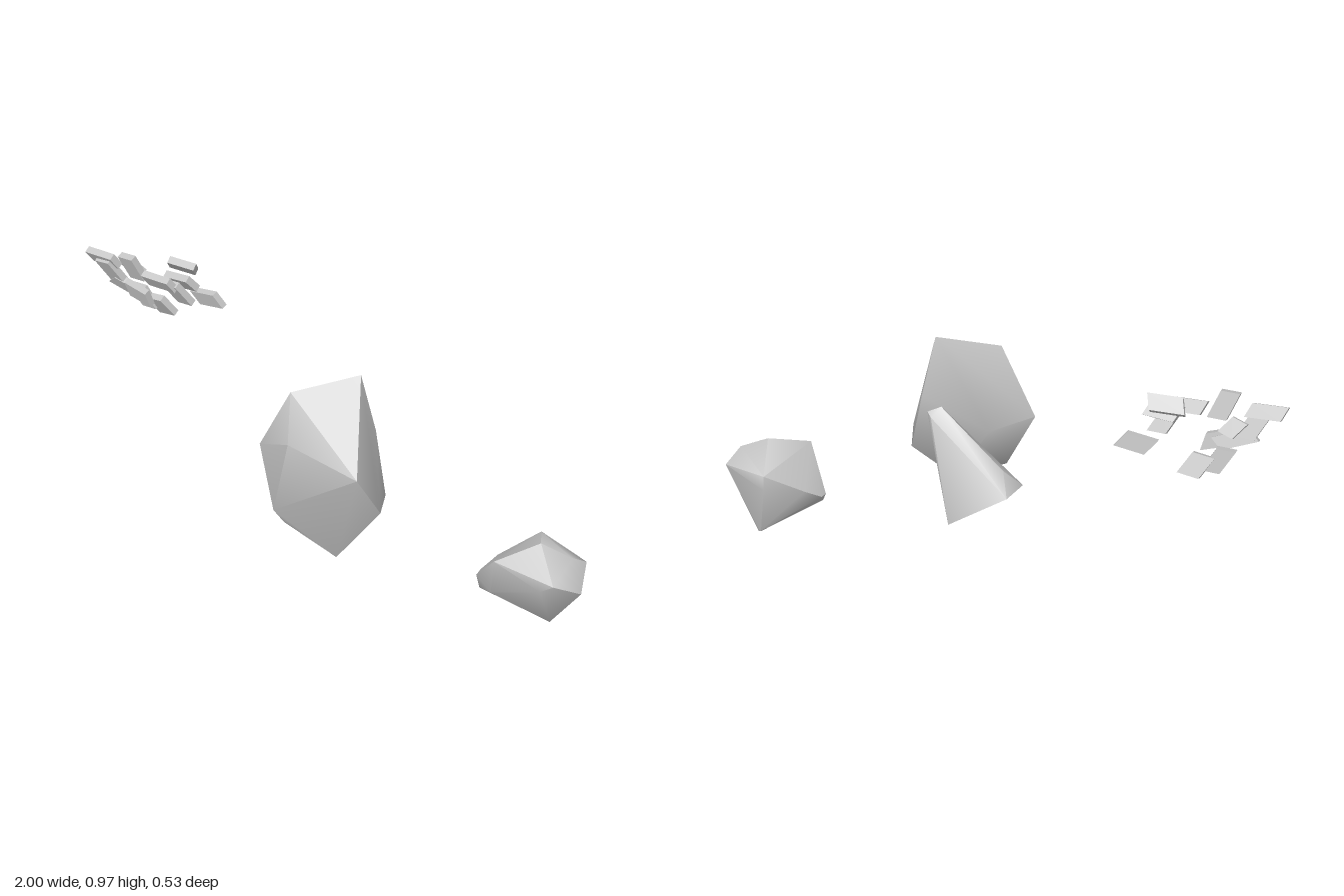
import * as THREE from 'three';
import { toCreasedNormals } from 'three/addons/utils/BufferGeometryUtils.js';
import { ConvexGeometry } from 'three/addons/geometries/ConvexGeometry.js';

const stone = new THREE.MeshStandardMaterial({ color: 0xc4c4c4 });
stone.name = 'light grey stone';

// Faceted rock from its corner points, with softened shallow edges
function rock(name, corners) {
  const geo = new ConvexGeometry(corners.map(c => new THREE.Vector3(...c)));
  const mesh = new THREE.Mesh(toCreasedNormals(geo, 0.95), stone);
  mesh.name = name;
  return mesh;
}

// Slanted little slab: a parallelogram with thickness, rolled and leaning forward
function shard([x, y, z, w, h, skew, roll, pitch]) {
  const s = new THREE.Shape();
  s.moveTo(-w / 2 - skew / 2, -h / 2);
  s.lineTo(w / 2 - skew / 2, -h / 2);
  s.lineTo(w / 2 + skew / 2, h / 2);
  s.lineTo(-w / 2 + skew / 2, h / 2);
  s.closePath();
  const t = 0.027;
  const geo = new THREE.ExtrudeGeometry(s, { depth: t, bevelEnabled: false });
  geo.translate(0, 0, -t / 2);
  const mesh = new THREE.Mesh(geo, stone);
  mesh.name = 'shard';
  mesh.rotation.set(pitch, 0, roll);
  mesh.position.set(x, y, z);
  return mesh;
}

export function createModel() {
  const model = new THREE.Group();
  model.name = 'floatingRocks';

  // Tall boulder in the middle
  model.add(rock('tallRock', [
    [0.22, 0.87, 0.03], [0.03, 0.81, 0.155],
    [0.085, 0.685, 0.262], [0.338, 0.63, 0.255],
    [-0.10, 0.56, 0.145], [0.03, 0.53, 0.04], [0.26, 0.65, -0.008],
    [0.36, 0.435, 0.13], [0.315, 0.42, 0.012],
    [-0.003, 0.365, 0.217], [0.022, 0.307, 0.19],
    [0.215, 0.217, 0.165], [0.205, 0.222, 0.155],
  ]));

  // Leaning boulder behind it
  model.add(rock('leaningRock', [
    [0.19, 0.62, -0.003], [0.235, 0.60, -0.02], [0.215, 0.59, -0.037],
    [-0.088, 0.365, -0.097], [-0.055, 0.44, -0.045], [-0.10, 0.345, 0.03],
    [0.12, 0.22, -0.125], [0.205, 0.217, 0.045], [0.115, 0.217, 0.068],
    [0.08, 0.275, 0.108], [0.23, 0.45, 0.01],
  ]));

  // Small pointed boulder on the side
  model.add(rock('pointedRock', [
    [0.85, 0.375, -0.07], [0.735, 0.325, 0.038], [0.64, 0.17, -0.05],
    [0.642, 0.175, -0.08], [0.66, 0.13, -0.04], [0.73, 0.185, 0.028],
    [0.90, 0.26, 0.028], [0.94, 0.29, 0.02], [0.95, 0.335, -0.10],
    [1.0, 0.21, -0.09], [0.98, 0.288, -0.165],
    [0.795, 0.31, -0.213], [0.80, 0.25, -0.215], [0.68, 0.22, -0.13],
    [0.885, 0.0, -0.145], [0.87, 0.007, -0.152],
  ]));

  // Scattered slabs: x, y, z, width, height, skew, roll, pitch
  const shards = new THREE.Group();
  shards.name = 'shards';
  [
    [-0.936, 0.925, -0.125, 0.11, 0.045, -0.02, -0.06, 0.5],
    [-0.905, 0.88, -0.13, 0.06, 0.10, -0.04, 0.05, 0.4],
    [-0.805, 0.922, -0.125, 0.06, 0.09, -0.03, 0, 0.3],
    [-0.855, 0.825, -0.15, 0.12, 0.045, 0.02, -0.42, 0.4],
    [-0.82, 0.77, -0.20, 0.06, 0.08, -0.04, 0, 0.2],
    [-0.755, 0.745, -0.215, 0.07, 0.075, -0.03, 0.1, 0.45],
    [-0.645, 0.933, -0.207, 0.11, 0.053, 0.015, -0.05, 0.75],
    [-0.69, 0.893, -0.125, 0.11, 0.045, -0.02, -0.05, 0.5],
    [-0.635, 0.85, -0.16, 0.06, 0.085, -0.04, 0, 0.45],
    [-0.57, 0.805, -0.25, 0.10, 0.052, -0.03, 0.1, 0.2],
    [-0.63, 0.89, -0.175, 0.10, 0.055, -0.02, 0.05, 0.6],
    [-0.85, 0.885, -0.185, 0.05, 0.06, -0.02, 0.3, 0.5],
    [-0.80, 0.81, -0.145, 0.09, 0.05, -0.03, -0.35, 0.25],
  ].forEach(row => shards.add(shard(row)));
  model.add(shards);

  return model;
}
